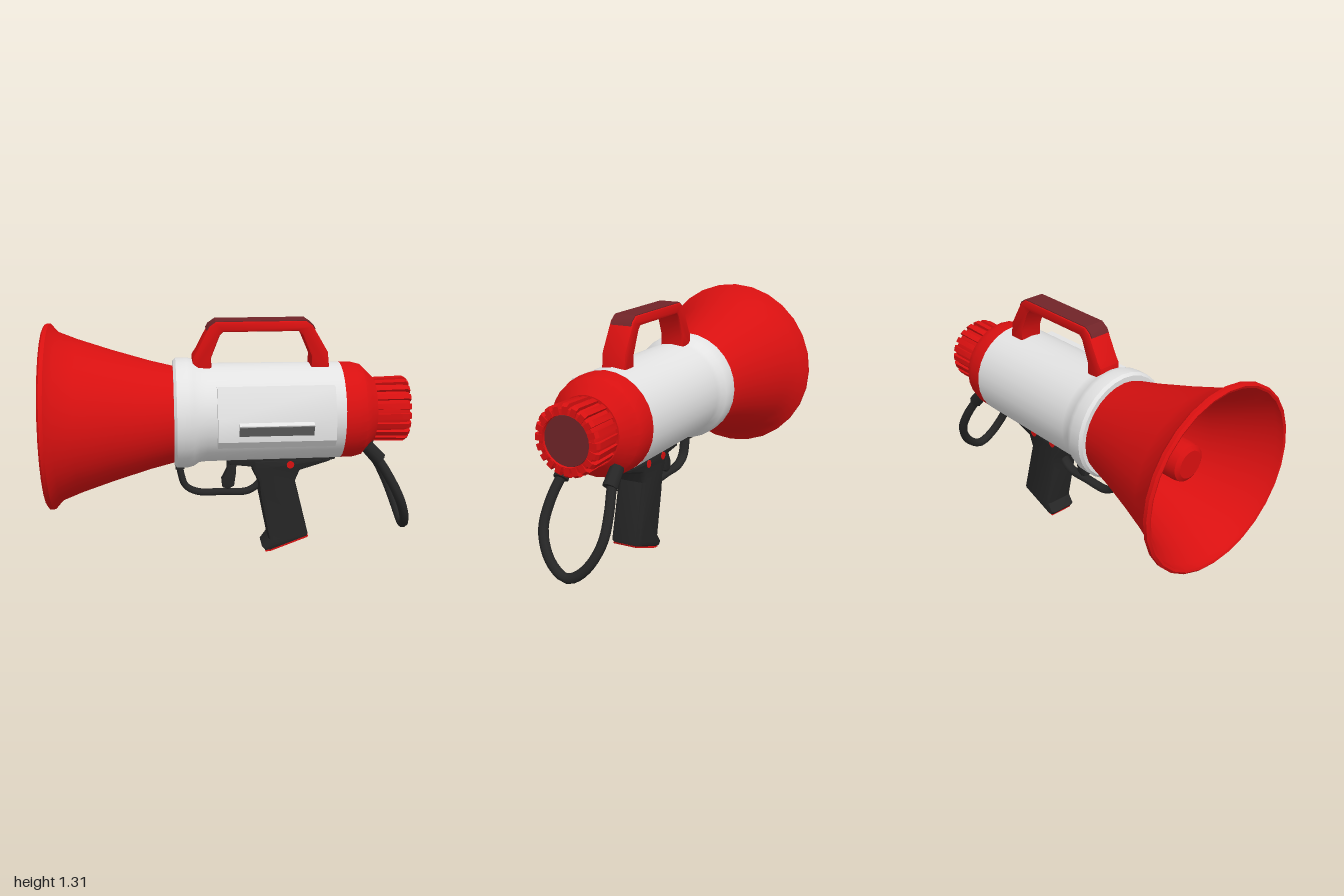
import * as THREE from 'three';
import { toCreasedNormals } from 'three/addons/utils/BufferGeometryUtils.js';

const material = (name, color, side = THREE.FrontSide) => {
  const m = new THREE.MeshStandardMaterial({ color, side });
  m.name = name;
  return m;
};
const AXIS = 0.805; // height of the barrel axis

export function createModel() {
  const red = material('red', 0xd81010);
  const darkRed = material('dark red', 0x702428);
  const white = material('white', 0xe2e2e2);
  const grey = material('grey', 0x6a6a6a);
  const black = material('black', 0x262626);
  const model = new THREE.Group();
  model.name = 'megaphone';

  const add = (name, geometry, mat, parent = model) => {
    const mesh = new THREE.Mesh(geometry, mat);
    mesh.name = name;
    parent.add(mesh);
    return mesh;
  };
  // Turned part along x; profile is [x, radius]
  const turned = (name, profile, mat, sides = 24, y = AXIS) => {
    const g = new THREE.LatheGeometry(profile.map(([x, r]) => new THREE.Vector2(r, x)), sides);
    g.rotateZ(-Math.PI / 2);
    g.translate(0, y, 0);
    return add(name, toCreasedNormals(g, 0.55), mat);
  };
  // Side outline in x/y, given a width centred on z = 0
  const slab = (points, width, bevel = 0) => {
    const shape = new THREE.Shape(points.map(([x, y]) => new THREE.Vector2(x, y)));
    const g = new THREE.ExtrudeGeometry(shape, {
      depth: width - 2 * bevel, bevelEnabled: bevel > 0, bevelThickness: bevel,
      bevelSize: bevel, bevelOffset: -bevel, bevelSegments: 2,
    });
    g.translate(0, 0, -width / 2 + bevel);
    return toCreasedNormals(g, 0.6);
  };
  const tube = (points, radius, segments = 28) => new THREE.TubeGeometry(
    new THREE.CatmullRomCurve3(points.map(p => new THREE.Vector3(...p))), segments, radius, 8);

  // Horn: inside wall, rolled rim, outside wall
  turned('horn', [
    [-0.36, 0], [-0.36, 0.23], [-0.65, 0.32], [-0.9, 0.42], [-0.96, 0.465], [-0.995, 0.475],
    [-1, 0.487], [-0.99, 0.5], [-0.97, 0.5], [-0.93, 0.455], [-0.83, 0.415], [-0.65, 0.355],
    [-0.45, 0.295], [-0.31, 0.26],
  ], red, 28, 0.797);
  turned('hornDriver', [
    [-0.8, 0], [-0.8, 0.075], [-0.785, 0.098], [-0.75, 0.105], [-0.34, 0.105],
  ], red, 20, 0.797);

  // Barrel with a flared front collar
  turned('body', [
    [-0.325, 0.24], [-0.325, 0.285], [-0.31, 0.299], [-0.25, 0.3], [-0.22, 0.292],
    [-0.19, 0.272], [-0.15, 0.268], [0.58, 0.264], [0.58, 0.2],
  ], white, 28);

  // Rear housing and ribbed knob
  turned('rearHousing', [
    [0.575, 0.22], [0.575, 0.263], [0.65, 0.262], [0.695, 0.25], [0.73, 0.215],
    [0.765, 0.18], [0.765, 0],
  ], red, 28);
  turned('knob', [
    [0.74, 0.163], [0.92, 0.163], [0.945, 0.155], [0.95, 0.128], [0.935, 0.126], [0.935, 0],
  ], red, 28);
  turned('knobEnd', [[0.936, 0.126], [0.941, 0.124], [0.941, 0]], darkRed, 24);
  const ribs = new THREE.Group();
  ribs.name = 'knobRibs';
  ribs.position.y = AXIS;
  model.add(ribs);
  for (let i = 0; i < 20; i++) {
    const a = (i / 20) * Math.PI * 2;
    const g = slab([[0.75, 0.13], [0.952, 0.13], [0.952, 0.168], [0.935, 0.18], [0.77, 0.175], [0.75, 0.165]], 0.03);
    add('knobRib', g, red, ribs).rotation.x = a;
  }

  // Carrying handle with a dark strip over the top
  add('handle', slab([
    [-0.22, 1.05], [0.415, 1.05], [0.415, 1.12], [0.365, 1.235], [0.345, 1.255],
    [-0.055, 1.255], [-0.075, 1.235], [-0.12, 1.12], [-0.12, 1.05],
  ].slice(2).concat([
    [-0.22, 1.05], [-0.22, 1.12], [-0.2, 1.15], [-0.13, 1.285], [-0.095, 1.31],
    [0.385, 1.31], [0.42, 1.285], [0.505, 1.14], [0.515, 1.05], [0.415, 1.05],
  ]), 0.135, 0.012), red);
  add('handleStrip', slab([
    [-0.14, 1.265], [-0.13, 1.28], [-0.095, 1.306], [0.385, 1.306], [0.42, 1.28], [0.43, 1.265],
    [0.436, 1.265], [0.424, 1.287], [0.387, 1.313], [-0.097, 1.313], [-0.134, 1.287], [-0.146, 1.265],
  ], 0.116), darkRed);

  // Battery panel on the front side, with a latch
  const panel = slab([
    [0.18, 0.68], [0.275, 0.68], [0.305, 0.72], [0.308, 0.835], [0.235, 0.99], [0.18, 0.99],
  ], 0.62);
  panel.rotateY(-Math.PI / 2);
  add('sidePanel', panel, white).position.x = 0.21;
  const latch = slab([[0.3, 0.755], [0.326, 0.805], [0.326, 0.812], [0.3, 0.83]], 0.39);
  latch.rotateY(-Math.PI / 2);
  add('latch', latch, white).position.x = 0.205;
  const latchFace = slab([[0.302, 0.752], [0.308, 0.752], [0.332, 0.805], [0.325, 0.808]], 0.39);
  latchFace.rotateY(-Math.PI / 2);
  add('latchFace', latchFace, grey).position.x = 0.205;

  // Pistol grip, mount and base
  add('grip', slab([
    [0.09, 0.56], [0.1, 0.49], [0.135, 0.42], [0.145, 0.33], [0.195, 0.08], [0.16, 0.03],
    [0.18, 0.006], [0.21, 0.01], [0.415, 0.088], [0.418, 0.105], [0.34, 0.42], [0.365, 0.48],
    [0.53, 0.53], [0.55, 0.56],
  ], 0.175, 0.025), black);
  add('gripBase', slab([[0.18, 0.0], [0.21, 0.003], [0.416, 0.081], [0.42, 0.09], [0.414, 0.089], [0.209, 0.011], [0.18, 0.008]], 0.14), red);
  add('mount', slab([[-0.04, 0.56], [-0.03, 0.525], [0.1, 0.51], [0.36, 0.5], [0.56, 0.545], [0.56, 0.57]], 0.17, 0.01), black);
  for (const [x, z] of [[0.31, 0.088], [0.31, -0.088], [0.15, -0.088]]) {
    const g = new THREE.CylinderGeometry(0.021, 0.021, 0.008, 12);
    g.rotateX(Math.PI / 2);
    add('screw', g, red).position.set(x, 0.52, z);
  }

  // Trigger and its guard
  add('trigger', slab([
    [-0.035, 0.54], [-0.035, 0.48], [-0.065, 0.42], [-0.06, 0.375], [-0.03, 0.362],
    [0.005, 0.38], [0.015, 0.45], [0.02, 0.54],
  ], 0.06, 0.014), black);
  add('triggerGuard', tube([
    [-0.3, 0.53, 0], [-0.29, 0.46, 0], [-0.265, 0.385, 0], [-0.2, 0.348, 0], [-0.05, 0.343, 0],
    [0.07, 0.342, 0], [0.12, 0.365, 0], [0.17, 0.42, 0],
  ], 0.019).scale(1, 1, 1.6), black);
  add('guardFoot', new THREE.BoxGeometry(0.05, 0.04, 0.09), black).position.set(-0.295, 0.515, 0);

  // Wrist cord: one loop hung from two sockets
  const half = [[0.72, 0.62, 0.135], [0.78, 0.56, 0.145], [0.85, 0.45, 0.168], [0.91, 0.33, 0.17], [0.95, 0.22, 0.125], [0.968, 0.15, 0.06]];
  const mirrored = half.map(([x, y, z]) => [x, y, -z]).reverse();
  add('wristCord', tube([...half, [0.972, 0.125, 0], ...mirrored], 0.026, 40), black);
  for (const s of [1, -1]) {
    const socket = add('cordSocket', new THREE.CylinderGeometry(0.036, 0.04, 0.11, 8), black);
    socket.position.set(0.755, 0.595, 0.14 * s);
    socket.rotation.z = 0.75;
  }
  return model;
}
